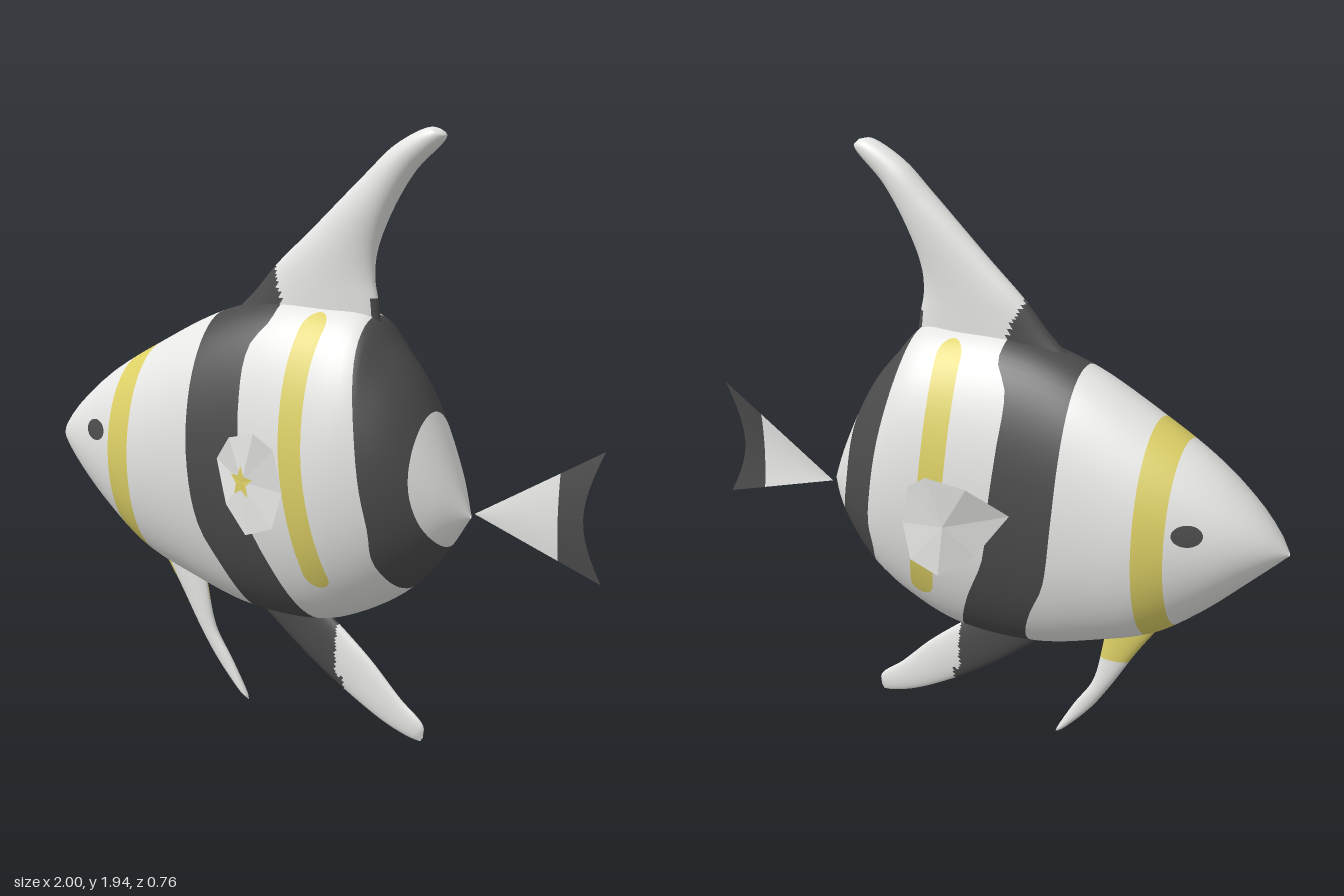
import * as THREE from 'three';

const material = (name, color) => {
  const m = new THREE.MeshStandardMaterial({ color, side: THREE.DoubleSide });
  m.name = name;
  return m;
};

// Smooth y(x) through a few points, clamped at both ends
function table(pts) {
  const slope = (i) => {
    const a = pts[Math.max(i - 1, 0)], b = pts[Math.min(i + 1, pts.length - 1)];
    return (b[1] - a[1]) / (b[0] - a[0]);
  };
  return (x) => {
    if (x <= pts[0][0]) return pts[0][1];
    let i = pts.findIndex((p) => p[0] >= x);
    if (i < 0) return pts[pts.length - 1][1];
    i -= 1;
    const d = pts[i + 1][0] - pts[i][0], t = (x - pts[i][0]) / d, t2 = t * t, t3 = t2 * t;
    return (2 * t3 - 3 * t2 + 1) * pts[i][1] + (t3 - 2 * t2 + t) * d * slope(i)
      + (3 * t2 - 2 * t3) * pts[i + 1][1] + (t3 - t2) * d * slope(i + 1);
  };
}

// Grid surface: point(i, j) gives corners, pick(i, j, mid) gives a material index per cell
function surface(name, nu, nv, closed, point, mats, pick = () => 0) {
  const pos = [], cols = closed ? nv : nv + 1, lists = mats.map(() => []);
  for (let i = 0; i <= nu; i++) for (let j = 0; j < cols; j++) pos.push(...point(i, j));
  for (let i = 0; i < nu; i++) for (let j = 0; j < nv; j++) {
    const k = (j + 1) % cols;
    const a = i * cols + j, b = a + cols, c = (i + 1) * cols + k, d = i * cols + k;
    const mid = [0, 1, 2].map((n) => (pos[a * 3 + n] + pos[c * 3 + n]) / 2);
    lists[pick(i, j, mid)].push(a, b, c, a, c, d);
  }
  const g = new THREE.BufferGeometry();
  g.setAttribute('position', new THREE.Float32BufferAttribute(pos, 3));
  g.setIndex(lists.flat());
  let start = 0;
  lists.forEach((l, n) => { g.addGroup(start, l.length, n); start += l.length; });
  g.computeVertexNormals();
  const mesh = new THREE.Mesh(g, mats);
  mesh.name = name;
  return mesh;
}

// Body profile
const ZC = 0.025;
const top = table([[-1, 0.845], [-0.97, 0.89], [-0.9, 0.97], [-0.76, 1.09], [-0.58, 1.2], [-0.33, 1.33], [-0.1, 1.39],
  [0.1, 1.39], [0.23, 1.37], [0.3, 1.29], [0.38, 1.19], [0.44, 1.08], [0.5, 0.95], [0.57, 0.785]]);
const bottom = table([[-1, 0.835], [-0.9, 0.74], [-0.75, 0.6], [-0.6, 0.49], [-0.42, 0.42], [-0.2, 0.36],
  [0.05, 0.36], [0.2, 0.41], [0.35, 0.5], [0.45, 0.6], [0.57, 0.775]]);
const width = table([[-1, 0.008], [-0.97, 0.045], [-0.9, 0.1], [-0.8, 0.15], [-0.6, 0.21], [-0.4, 0.232], [-0.2, 0.24],
  [0.1, 0.255], [0.2, 0.255], [0.3, 0.235], [0.4, 0.185], [0.5, 0.1], [0.57, 0.006]]);
const centre = (x) => (top(x) + bottom(x)) / 2;
const half = (x) => (top(x) - bottom(x)) / 2;
const skin = (x, a, off = 0) => [x, centre(x) + (half(x) + off) * Math.sin(a), ZC + (width(x) + off) * Math.cos(a)];
const skinAt = (x, y, side, off) => {
  const s = THREE.MathUtils.clamp((y - centre(x)) / half(x), -1, 1);
  const p = skin(x, Math.asin(s), off);
  return [p[0], p[1], ZC + side * (p[2] - ZC)];
};

// Band edges, x as a function of height
const edges = [
  () => -1, () => -0.67, () => -0.575,
  table([[0.36, -0.18], [0.43, -0.19], [0.54, -0.23], [0.67, -0.29], [0.88, -0.32], [1.1, -0.33], [1.33, -0.33]]),
  table([[0.36, 0.06], [0.56, -0.02], [0.72, -0.09], [0.88, -0.11], [1.1, -0.13], [1.26, -0.13], [1.34, -0.08]]),
  table([[0.52, 0.38], [0.56, 0.36], [0.65, 0.33], [0.75, 0.33], [0.88, 0.31], [1.05, 0.285], [1.27, 0.245], [1.4, 0.23]]),
  table([[0.68, 0.505], [0.78, 0.46], [0.9, 0.435], [1.1, 0.435]]),
  () => 0.57,
];
const bandSteps = 10;

function edgeX(edge, a) {
  let x = edge(0.85);
  for (let n = 0; n < 20; n++) x = (x + edge(skin(x, a)[1])) / 2;
  return x;
}

// Fin with lens sections, each [frontX, frontY, rearX, rearY, halfThickness]
function fin(name, sections, z, mats, pick) {
  const front = new THREE.CatmullRomCurve3(sections.map((s) => new THREE.Vector3(s[0], s[1], s[4])));
  const rear = new THREE.CatmullRomCurve3(sections.map((s) => new THREE.Vector3(s[2], s[3], 0)));
  const nu = 72, nv = 64;
  return surface(name, nu, nv, true, (i, j) => {
    const f = front.getPoint(i / nu), r = rear.getPoint(i / nu), a = (j / nv) * Math.PI * 2;
    const k = (1 + Math.cos(a)) / 2;
    return [f.x + (r.x - f.x) * k, f.y + (r.y - f.y) * k, z + f.z * Math.sin(a)];
  }, mats, (i, j, p) => pick(p));
}

export function createModel() {
  const group = new THREE.Group();
  const white = material('pearl white', 0xe6e6e4);
  const black = material('charcoal', 0x4b4b4b);
  const yellow = material('soft yellow', 0xddd066);
  const mats = [white, black, yellow];

  // Banded body
  const bandColours = [0, 2, 0, 1, 0, 1, 0], nv = 64;
  group.add(surface('body', bandSteps * 7, nv, true, (i, j) => {
    const a = (j / nv) * Math.PI * 2, b = Math.min(Math.floor(i / bandSteps), 6);
    const x0 = edgeX(edges[b], a), x1 = edgeX(edges[b + 1], a);
    return skin(x0 + (x1 - x0) * (i / bandSteps - b), a);
  }, mats, (i) => bandColours[Math.floor(i / bandSteps)]));

  // Rounded side stripes and eyes, thin plates over the skin
  const stripeX = table([[0.535, 0.148], [0.57, 0.142], [0.75, 0.108], [0.95, 0.08], [1.2, 0.072], [1.37, 0.082]]);
  for (const side of [1, -1]) {
    group.add(surface('sideStripe', 60, 8, false, (i, j) => {
      const t = (1 - Math.cos((i / 60) * Math.PI)) / 2, y = 0.535 + 0.835 * t;
      const d = Math.min(1, Math.min(y - 0.535, 1.37 - y) / 0.042);
      const w = 0.042 * Math.sqrt(Math.max(0, 1 - (1 - d) ** 2));
      return skinAt(stripeX(y) + side * w * (j / 4 - 1), y, side, 0.005);
    }, [yellow]).rotateX(0));
    group.add(surface('eye', 4, 28, true, (i, j) => {
      const a = side * (j / 28) * Math.PI * 2, r = i / 4;
      return skinAt(-0.735 + 0.045 * r * Math.cos(a), 0.915 + 0.033 * r * Math.sin(a), side, 0.005);
    }, [black]));
  }

  // Dorsal fin
  group.add(fin('dorsalFin', [
    [-0.36, 1.27, 0.26, 1.26, 0.05], [-0.22, 1.39, 0.245, 1.4, 0.05], [-0.12, 1.5, 0.23, 1.48, 0.05],
    [0.01, 1.62, 0.235, 1.56, 0.05], [0.2, 1.8, 0.28, 1.68, 0.05], [0.3, 1.89, 0.36, 1.81, 0.045],
    [0.41, 1.945, 0.465, 1.92, 0.03], [0.45, 1.94, 0.455, 1.935, 0],
  ], 0.03, mats, ([x, y]) => (y < 1.5 && x < -0.12 + (1.5 - y) * 0.4) || (x > 0.225 && y < 1.42) ? 1 : 0));

  // Pelvic fin, yellow at its root
  group.add(fin('pelvicFin', [
    [-0.25, 0.01, -0.245, 0.01, 0], [-0.275, 0.03, -0.25, 0.025, 0.01], [-0.37, 0.135, -0.31, 0.135, 0.015],
    [-0.44, 0.24, -0.375, 0.24, 0.018], [-0.52, 0.375, -0.405, 0.37, 0.02], [-0.61, 0.51, -0.42, 0.48, 0.02],
  ], 0.03, mats, ([x, y, z]) => (z < 0.03 ? y > 0.34 : y > 0.29 && x < -0.57 + (0.49 - y) * 0.5) ? 2 : 0));

  // Anal fin, dark at its root
  group.add(fin('analFin', [
    [0.405, 0.005, 0.415, 0.02, 0], [0.37, 0.01, 0.415, 0.06, 0.01], [0.28, 0.04, 0.33, 0.135, 0.016],
    [0.13, 0.12, 0.225, 0.24, 0.02], [-0.015, 0.215, 0.13, 0.32, 0.024], [-0.2, 0.36, 0.04, 0.39, 0.026],
  ], 0.02, mats, ([x, y]) => (x < 0.1 + (y < 0.17 ? 0.025 : 0) ? 1 : 0)));

  // Tail fin, a gently bowed sheet with a dark notched end
  group.add(surface('tailFin', 12, 12, false, (i, j) => {
    const v = j / 6 - 1, u = i / 6, end = 1 - 0.06 * (1 - v * v);
    const x = u <= 1 ? 0.565 + 0.29 * u : 0.855 + (end - 0.855) * (u - 1);
    const k = (x - 0.565) / 0.435;
    return [x, 0.78 + k * (0.0625 + 0.2025 * v), -0.01 + 0.035 * k + 0.015 * k * (1 - v * v)];
  }, mats, (i) => (i < 6 ? 0 : 1)));

  // Faceted pectoral fins flaring from the flanks
  const rim = [[-0.2, 0.91], [-0.12, 0.79], [-0.015, 0.72], [0.08, 0.755], [0.11, 0.87], [0.085, 1], [0.02, 1.045], [-0.095, 1.01]];
  const flare = table([[-0.205, 0.25], [-0.1, 0.335], [0, 0.375], [0.06, 0.375], [0.11, 0.36]]);
  const fan = (name, outline, hub, side, off, mat) => {
    const pos = [], put = ([x, y]) => pos.push(x, y, 0.01 + side * (flare(x) + off));
    outline.forEach((p, n) => {
      const q = outline[(n + 1) % outline.length];
      (side > 0 ? [hub, p, q] : [hub, q, p]).forEach(put);
    });
    const g = new THREE.BufferGeometry();
    g.setAttribute('position', new THREE.Float32BufferAttribute(pos, 3));
    g.computeVertexNormals();
    const mesh = new THREE.Mesh(g, mat);
    mesh.name = name;
    group.add(mesh);
  };
  const hub = [-0.03, 0.885];
  fan('leftPectoralFin', rim, hub, 1, 0, white);
  fan('rightPectoralFin', rim, hub, -1, 0, white);

  // Small star marking on one pectoral fin
  const star = Array.from({ length: 10 }, (_, n) => {
    const a = Math.PI / 2 + (n * Math.PI) / 5, r = n % 2 ? 0.024 : 0.052;
    return [hub[0] + r * Math.cos(a), hub[1] + r * Math.sin(a)];
  });
  fan('starMark', star, hub, 1, 0.006, yellow);
  return group;
}
